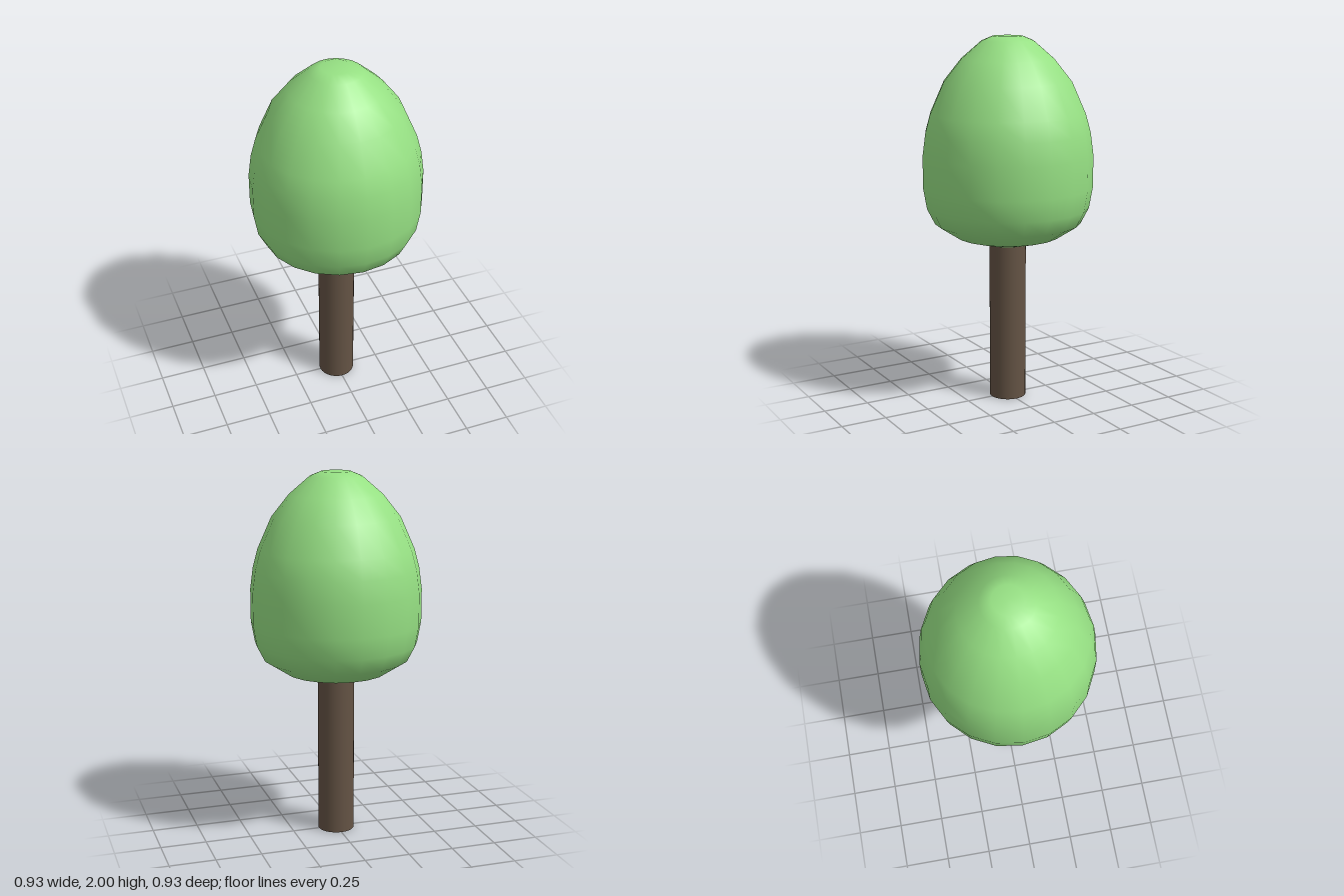
import * as THREE from 'three';

export function createModel() {
  const tree = new THREE.Group();
  tree.name = 'tree';

  // Trunk: a plain straight post
  const trunkHeight = 0.88;
  const trunk = new THREE.Mesh(
    new THREE.CylinderGeometry(0.1, 0.1, trunkHeight, 32),
    new THREE.MeshStandardMaterial({ color: 0x645344 })
  );
  trunk.name = 'trunk';
  trunk.position.y = trunkHeight / 2;
  tree.add(trunk);

  // Crown: egg-shaped foliage turned from a profile of [radius, height], bottom to top
  const profile = [
    [0, 0.87], [0.1, 0.87], [0.285, 0.92], [0.4, 0.995], [0.443, 1.08],
    [0.463, 1.195], [0.463, 1.37], [0.447, 1.49], [0.42, 1.59], [0.345, 1.76],
    [0.25, 1.88], [0.14, 1.975], [0.08, 2], [0, 2],
  ].map(([r, y]) => new THREE.Vector2(r, y));
  const crown = new THREE.Mesh(
    new THREE.LatheGeometry(profile, 20),
    new THREE.MeshStandardMaterial({ color: 0x96e083 })
  );
  crown.name = 'crown';
  tree.add(crown);

  return tree;
}
